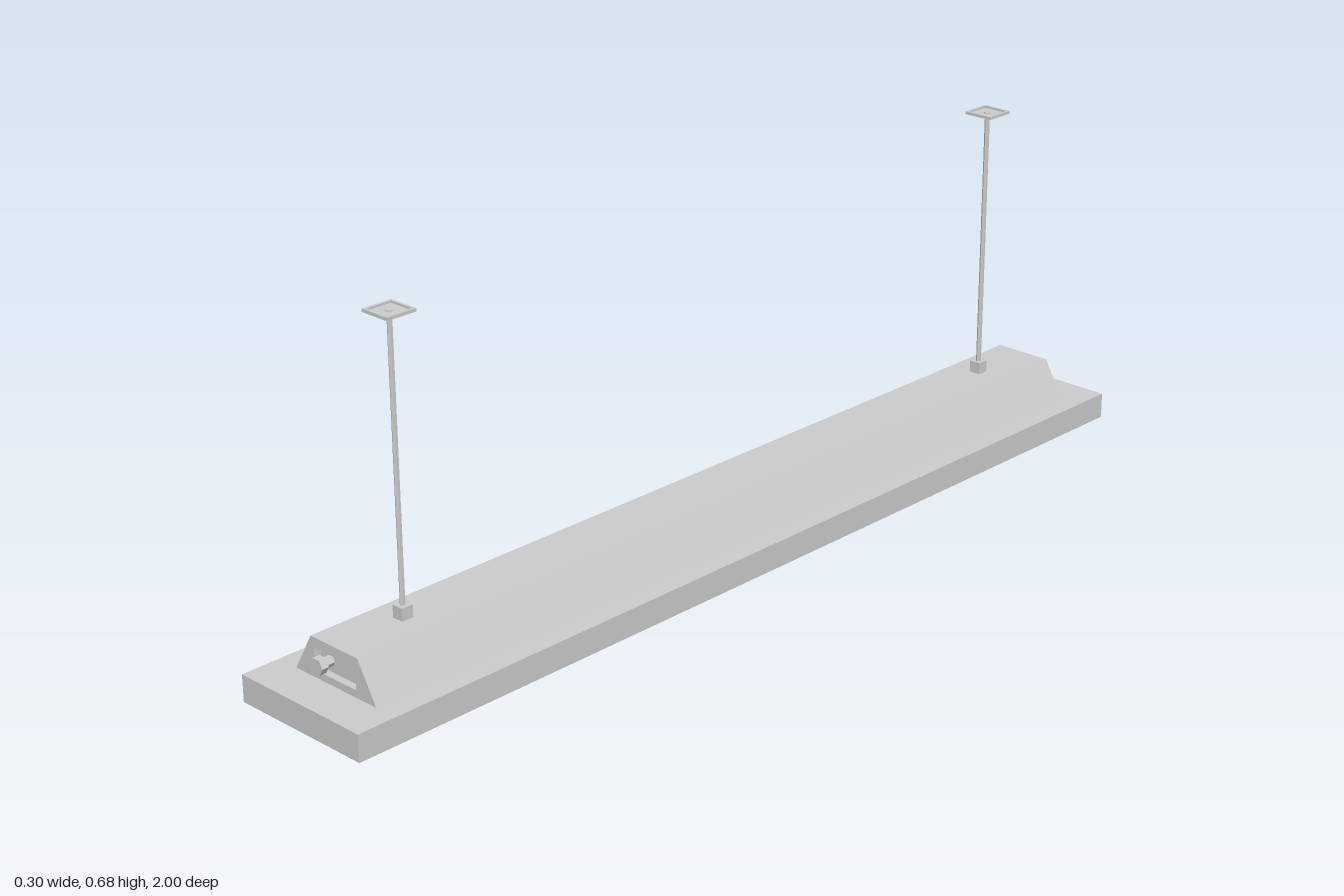
import * as THREE from 'three';

const metal = new THREE.MeshStandardMaterial({ color: 0xcccccc, flatShading: true });
const sheet = new THREE.MeshStandardMaterial({ color: 0xcccccc, flatShading: true, side: THREE.DoubleSide });

function add(parent, name, geometry, x = 0, y = 0, z = 0, material = metal) {
  const mesh = new THREE.Mesh(geometry, material);
  mesh.name = name;
  mesh.position.set(x, y, z);
  parent.add(mesh);
  return mesh;
}

const polygon = (points) => points.map(([x, y]) => new THREE.Vector2(x, y));
const housingOutline = () => new THREE.Shape(polygon([[-0.103, 0.052], [0.103, 0.052], [0.06, 0.127], [-0.06, 0.127]]));
const extrude = (shape, depth) => new THREE.ExtrudeGeometry(shape, { depth, bevelEnabled: false });

const W = 0.3, L = 2, H = 0.052;      // reflector tray
const END = 0.922, RECESS = 0.014;    // housing end and its recess depth

// Tray of thin sheet, open at the bottom
function createReflector() {
  const tray = new THREE.Group();
  tray.name = 'reflectorTray';
  const top = add(tray, 'trayTop', new THREE.PlaneGeometry(W, L), 0, H, 0, sheet);
  top.rotation.x = -Math.PI / 2;
  for (const s of [-1, 1]) {
    const side = add(tray, 'traySide', new THREE.PlaneGeometry(L, H), s * W / 2, H / 2, 0, sheet);
    side.rotation.y = s * Math.PI / 2;
    const end = add(tray, 'trayEnd', new THREE.PlaneGeometry(W, H), 0, H / 2, s * L / 2, sheet);
    end.rotation.y = s > 0 ? 0 : Math.PI;
    // Lamp holders under the tray top
    for (const x of [-0.105, -0.035, 0.035, 0.105])
      add(tray, 'lampHolder', new THREE.BoxGeometry(0.036, 0.034, 0.03), x, H - 0.017, s * 0.94);
  }
  return tray;
}

// Trapezoid housing with a rectangular recess in each end
function createHousing() {
  const housing = new THREE.Group();
  housing.name = 'housing';
  const inner = END - RECESS;
  add(housing, 'housingBody', extrude(housingOutline(), 2 * inner), 0, 0, -inner);
  const frame = housingOutline();
  frame.holes.push(new THREE.Path(polygon([[-0.053, 0.066], [-0.053, 0.108], [0.053, 0.108], [0.053, 0.066]])));
  for (const s of [-1, 1]) {
    add(housing, 'endFrame', extrude(frame, RECESS), 0, 0, s > 0 ? inner : -END);
    // Hexagonal cable gland
    const parts = [['glandStem', 0.01, inner, 0.93], ['glandNut', 0.016, 0.926, 0.94]];
    for (const [name, r, z0, z1] of parts) {
      const geometry = new THREE.CylinderGeometry(r, r, z1 - z0, 6);
      geometry.rotateY(Math.PI / 6).rotateX(Math.PI / 2);
      // a corner of the hexagon points sideways
      add(housing, name, geometry, -0.026, 0.088, s * (z0 + z1) / 2);
    }
  }
  return housing;
}

// Suspension rod with mounting block and square ceiling plate
function createHanger(z) {
  const hanger = new THREE.Group();
  hanger.name = 'hanger';
  add(hanger, 'mountingBlock', new THREE.BoxGeometry(0.024, 0.024, 0.024), 0, 0.139, 0);
  add(hanger, 'rod', new THREE.CylinderGeometry(0.005, 0.005, 0.527, 6), 0, 0.4135, 0);
  const profile = [[0, 0.664], [0.004, 0.664], [0.031, 0.674], [0.031, 0.68], [0.026, 0.68], [0.026, 0.676], [0, 0.676]]
    .map(([x, y]) => new THREE.Vector2(x * Math.SQRT2, y));
  add(hanger, 'ceilingPlate', new THREE.LatheGeometry(profile, 4, Math.PI / 4));
  add(hanger, 'rodTip', new THREE.CylinderGeometry(0.007, 0.007, 0.002, 6), 0, 0.677, 0);
  hanger.position.z = z;
  return hanger;
}

export function createModel() {
  const model = new THREE.Group();
  model.name = 'pendantLight';
  model.add(createReflector(), createHousing(), createHanger(0.772), createHanger(-0.772));
  return model;
}
